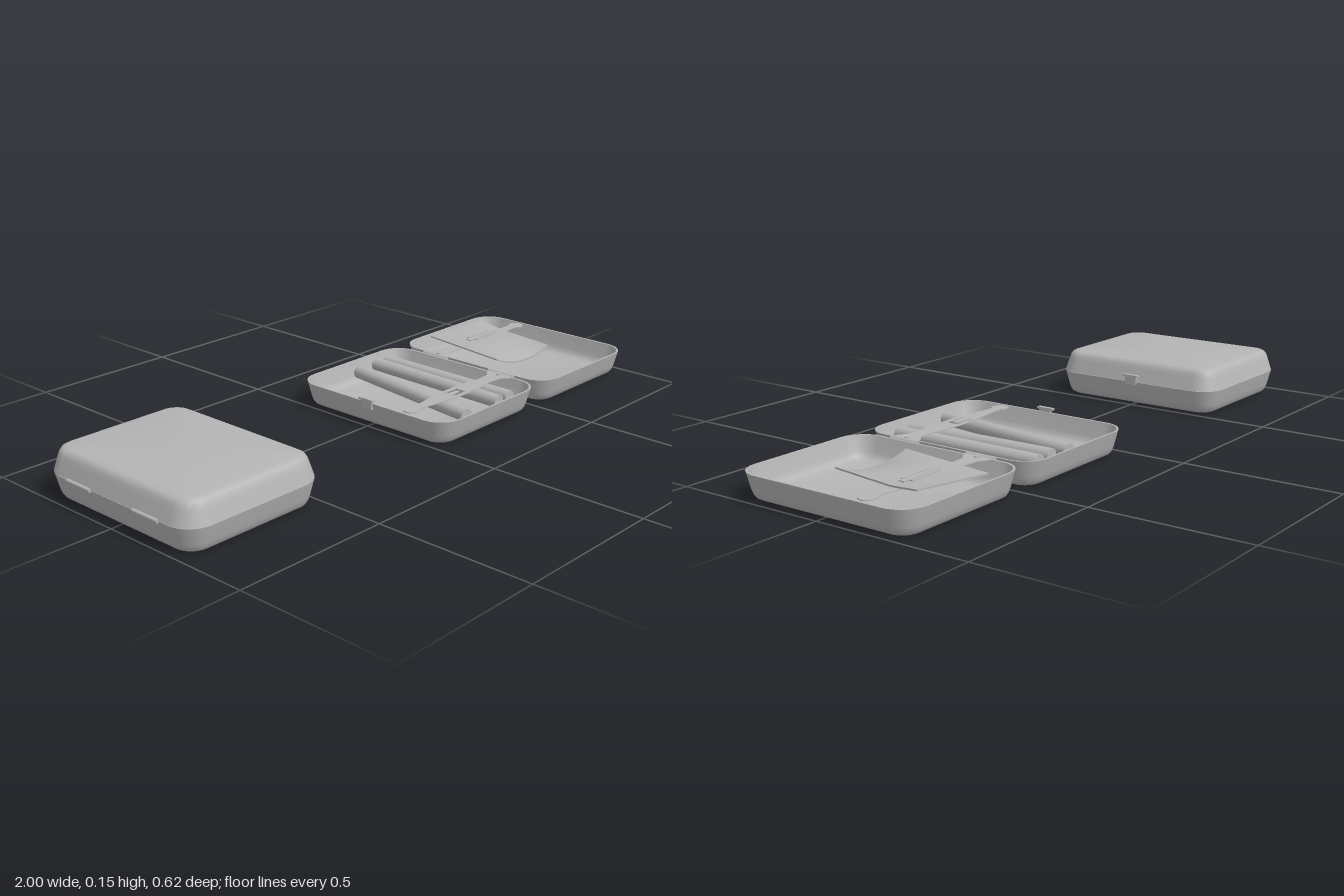
import * as THREE from 'three';
import { toCreasedNormals } from 'three/addons/utils/BufferGeometryUtils.js';

const metal = new THREE.MeshStandardMaterial({ color: 0xb4b4b4 });
metal.name = 'brushed grey';

function add(parent, name, geometry, x = 0, y = 0, z = 0) {
  const mesh = new THREE.Mesh(geometry, metal);
  mesh.name = name;
  mesh.position.set(x, y, z);
  parent.add(mesh);
  return mesh;
}

// Points around a rounded rectangle, inset from the rim outline
function ring(hx, hz, r, inset) {
  const pts = [], n = 8, rad = Math.max(r - inset, 0.01);
  const cx = hx - inset - rad, cz = hz - inset - rad;
  [[1, 1], [-1, 1], [-1, -1], [1, -1]].forEach(([sx, sz], q) => {
    for (let i = 0; i <= n; i++) {
      const a = (q + i / n) * Math.PI / 2;
      pts.push([sx * cx + rad * Math.cos(a), sz * cz + rad * Math.sin(a)]);
    }
  });
  return pts;
}

// Shallow shell: outside wall, rim, inside wall and floor
function trayGeometry(h, hx = 0.246, hz = 0.308) {
  const profile = [
    [0, 0.045, 0], [0, 0.045, 1], [0.002, 0.033, 1], [0.007, 0.024, 1],
    [0.016, 0.018, 1], [0.03, 0.013, 1], [h, 0, 1], [h, 0.007, 1],
    [0.034, 0.02, 1], [0.02, 0.026, 1], [0.013, 0.036, 1], [0.01, 0.05, 1], [0.01, 0.05, 0],
  ];
  const pos = [], idx = [];
  let n = 0;
  for (const [y, inset, s] of profile) {
    const pts = ring(hx, hz, 0.08, inset);
    n = pts.length;
    for (const [x, z] of pts) pos.push(x * s, y, z * s);
  }
  for (let j = 0; j < profile.length - 1; j++) {
    for (let i = 0; i < n; i++) {
      const a = j * n + i, b = j * n + (i + 1) % n, c = a + n, d = b + n;
      if (profile[j][2]) idx.push(a, c, b);
      if (profile[j + 1][2]) idx.push(b, c, d);
    }
  }
  const g = new THREE.BufferGeometry();
  g.setAttribute('position', new THREE.Float32BufferAttribute(pos, 3));
  g.setIndex(idx);
  return toCreasedNormals(g, 0.6);
}

// Holding strap with a round end and a tongue cut out of its middle
function strapGeometry(slotStart, slotEnd) {
  const side = [[0, 0.046], [0.022, 0.044], [0.045, 0.026], [0.09, 0.022], [0.14, 0.03],
    [0.21, 0.034], [0.29, 0.032], [0.36, 0.022], [0.41, 0.015], [0.434, 0.016]];
  const outline = side.map(([u, v]) => new THREE.Vector2(u, -v));
  for (let i = 0; i <= 12; i++) {
    const a = -2.2 + 4.4 * i / 12;
    outline.push(new THREE.Vector2(0.455 + 0.026 * Math.cos(a), 0.026 * Math.sin(a)));
  }
  side.slice().reverse().forEach(([u, v]) => outline.push(new THREE.Vector2(u, v)));
  const shape = new THREE.Shape(outline);
  const s = slotStart, e = slotEnd;
  shape.holes.push(new THREE.Path([[s, -0.019], [s, 0.019], [e, 0.019], [e, 0.012], [s + 0.012, 0.007],
    [s + 0.012, -0.007], [e, -0.012], [e, -0.019]].map(p => new THREE.Vector2(...p))));
  const g = new THREE.ExtrudeGeometry(shape, { depth: 0.003, bevelEnabled: false });
  return g.rotateX(-Math.PI / 2);
}

function strap(parent, name, x, z, turn, slotStart, slotEnd) {
  const g = new THREE.Group();
  g.name = name;
  g.position.set(x, 0.078, z);
  g.rotation.y = turn;
  add(g, 'strapBand', strapGeometry(slotStart, slotEnd));
  add(g, 'strapRivet', new THREE.CylinderGeometry(0.009, 0.009, 0.005, 16), 0.015, 0.0035, 0);
  parent.add(g);
}

// Small clasp on the end wall
function clasp(parent, x, y, out) {
  const g = new THREE.Group();
  g.name = 'clasp';
  add(g, 'claspPlate', new THREE.BoxGeometry(0.008, 0.03, 0.042), 0, -0.01, 0);
  add(g, 'claspLip', new THREE.BoxGeometry(0.013, 0.007, 0.056), out * 0.002, 0.005, 0);
  g.position.set(x, y, 0);
  parent.add(g);
}

function hinges(parent, x, y, r) {
  for (const z of [-0.14, 0.14]) {
    const barrel = add(parent, 'hingeBarrel', new THREE.CylinderGeometry(r, r, 0.1, 12), x, y, z);
    barrel.rotation.x = Math.PI / 2;
  }
}

export function createModel() {
  const model = new THREE.Group();
  model.name = 'slimCases';

  // Closed case
  const closed = new THREE.Group();
  closed.name = 'closedCase';
  model.add(closed);
  add(closed, 'closedBase', trayGeometry(0.08), -0.746);
  const lid = add(closed, 'closedLid', trayGeometry(0.07), -0.746, 0.151, 0);
  lid.rotation.x = Math.PI;
  clasp(closed, -0.499, 0.097, 1);
  hinges(closed, -0.993, 0.08, 0.006);

  // Open case
  const open = new THREE.Group();
  open.name = 'openCase';
  model.add(open);
  add(open, 'openBase', trayGeometry(0.08), 0.244);
  add(open, 'openLid', trayGeometry(0.08), 0.753);
  clasp(open, -0.002, 0.085, -1);
  hinges(open, 0.4985, 0.077, 0.008);

  // Rolls lying in the base
  for (const [x0, x1, y0, y1] of [[0.332, 0.332, 0.061, 0.056], [0.388, 0.388, 0.056, 0.056], [0.246, 0.169, 0.055, 0.055]]) {
    const a = new THREE.Vector3(x0, y0, -0.263), b = new THREE.Vector3(x1, y1, 0.26);
    const roll = add(open, 'roll', new THREE.CylinderGeometry(0.022, 0.022, a.distanceTo(b), 20));
    roll.position.copy(a).lerp(b, 0.5);
    roll.quaternion.setFromUnitVectors(new THREE.Vector3(0, 1, 0), b.sub(a).normalize());
  }

  // Straps across both halves
  strap(open, 'baseStrap', 0.495, 0.145, Math.PI, 0.215, 0.285);
  strap(open, 'lidStrap', 0.502, -0.142, 0, 0.165, 0.335);

  // Curved paper leaf held under the tongue of the lid strap
  const leaf = new THREE.BoxGeometry(0.248, 0.005, 0.335, 12, 1, 16);
  const p = leaf.attributes.position;
  for (let i = 0; i < p.count; i++) {
    const u = p.getX(i) / 0.124, t = p.getZ(i) / 0.1675;
    const near = Math.max(t, 0), far = Math.max(-t - 0.4, 0);
    p.setY(i, p.getY(i) - 0.028 * near * near * (1 - u * u) + 0.018 * far * (1 + u) * 0.5);
  }
  leaf.computeVertexNormals();
  const paper = add(open, 'paperLeaf', toCreasedNormals(leaf, 0.6), 0.732, 0.0845, -0.09);
  paper.rotation.y = -0.145;
  for (const side of [-1, 1]) {
    add(open, 'tongueProng', new THREE.BoxGeometry(0.11, 0.003, 0.008), 0.755, 0.0895, -0.142 + side * 0.017);
  }
  add(open, 'tongue', new THREE.BoxGeometry(0.15, 0.003, 0.018), 0.755, 0.0895, -0.142);

  return model;
}
